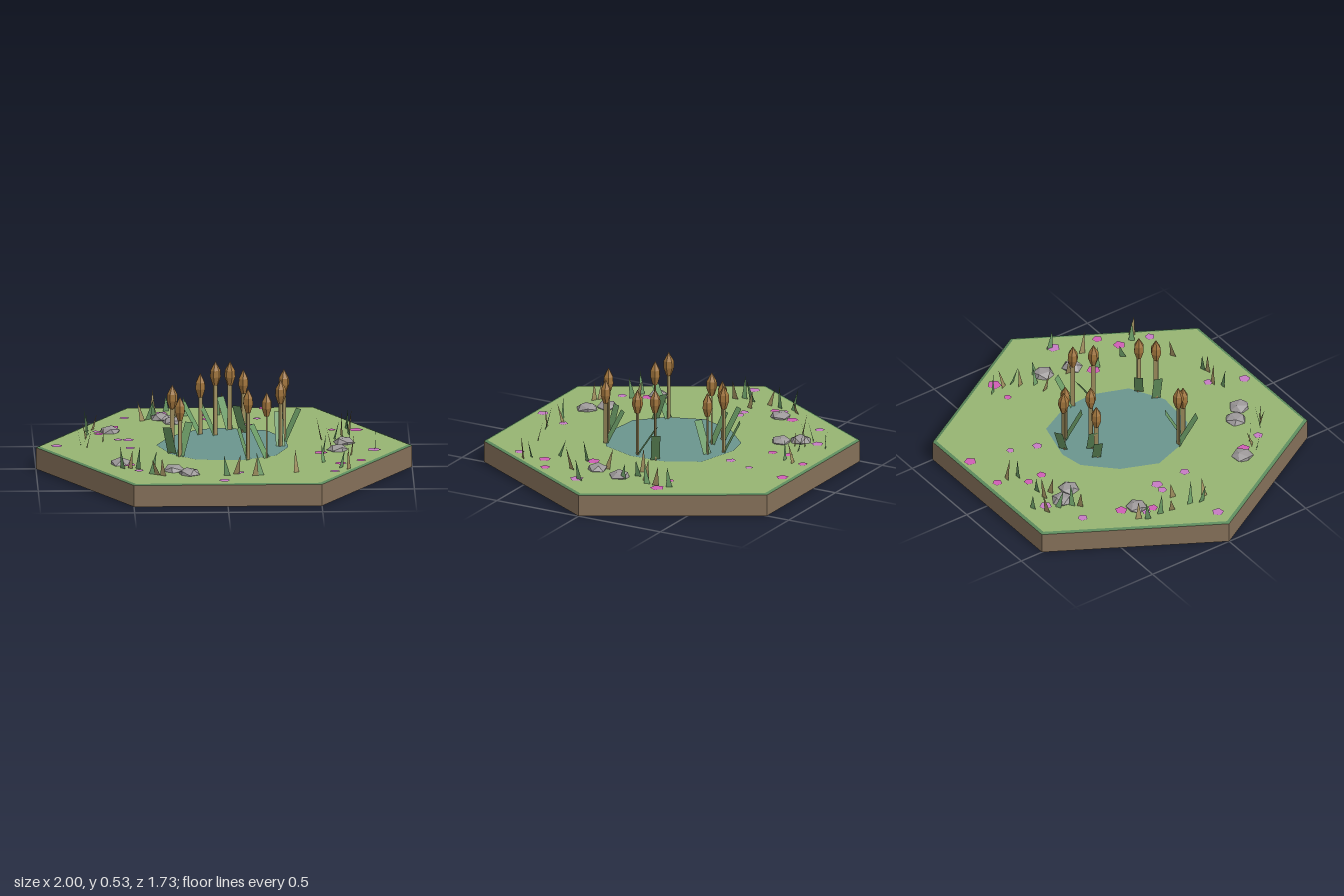
import * as THREE from 'three';

const mat = (name, color, extra = {}) => {
  const m = new THREE.MeshStandardMaterial({ color, flatShading: true, ...extra });
  m.name = name;
  return m;
};
const two = { side: THREE.DoubleSide };
const M = {
  soil: mat('soil brown', 0x86715a),
  rim: mat('rim green', 0x5c8a5c),
  grass: mat('meadow green', 0x96b472),
  water: mat('pond water', 0x6b958e),
  leaf: mat('leaf green', 0x6c9c66, two),
  dry: mat('dry tan', 0xa09060, two),
  head: mat('cattail brown', 0xa0743c),
  rock: mat('stone grey', 0x9c9899),
  pink: mat('deep pink', 0xcf5fb5),
  lilac: mat('pale pink', 0xc67cc4),
};
const G = 0.122; // ground height

// flat strip from base to tip, tapering from width w0 to w1 (w1 = 0 gives a triangle)
function strip(base, tip, side, w0, w1) {
  const at = (p, w) => p.clone().addScaledVector(side, w / 2);
  const a = at(base, -w0), b = at(base, w0), c = at(tip, w1), d = at(tip, -w1);
  const pts = w1 > 0 ? [a, b, c, a, c, d] : [a, b, tip];
  const g = new THREE.BufferGeometry().setFromPoints(pts);
  g.computeVertexNormals();
  return g;
}

export function createModel() {
  const model = new THREE.Group();
  model.name = 'pondTile';
  const group = (name) => {
    const g = new THREE.Group();
    g.name = name;
    model.add(g);
    return g;
  };
  const add = (parent, name, geo, material, x = 0, y = 0, z = 0) => {
    const m = new THREE.Mesh(geo, material);
    m.name = name;
    m.position.set(x, y, z);
    parent.add(m);
    return m;
  };

  // Hexagonal tile: soil, bevelled rim, meadow
  const hex = (top, bottom, h, open) =>
    new THREE.CylinderGeometry(top, bottom, h, 6, 1, open).rotateY(Math.PI / 6);
  add(model, 'soil', hex(1, 1, 0.117, false), M.soil, 0, 0.0585, 0);
  add(model, 'rim', hex(0.98, 1, 0.005, true), M.rim, 0, 0.1195, 0);
  add(model, 'meadow', new THREE.CircleGeometry(0.98, 6).rotateX(-Math.PI / 2), M.grass, 0, G, 0);

  // Pond
  const shore = [[-0.36, 0], [-0.28, -0.2], [-0.13, -0.35], [0, -0.375], [0.235, -0.315], [0.33, -0.13],
    [0.34, 0.06], [0.27, 0.25], [0.08, 0.35], [-0.155, 0.33], [-0.29, 0.2]];
  const pond = new THREE.Shape(shore.map(([x, z]) => new THREE.Vector2(x, -z)));
  add(model, 'pond', new THREE.ShapeGeometry(pond).rotateX(-Math.PI / 2), M.water, 0, G + 0.004, 0);

  // Cattails: x, z, top height, stem yaw, leaf tip x, leaf tip z
  const cattails = [
    [0.04, -0.34, 0.50, 0, -0.01, -0.41], [0.11, -0.28, 0.47, 0.6, 0.07, -0.20],
    [-0.12, -0.24, 0.46, 0.8, -0.21, -0.29], [-0.04, -0.22, 0.53, 0.6, -0.12, -0.26],
    [0.32, -0.08, 0.52, 0.8, 0.40, -0.13], [0.30, 0.04, 0.49, 0.9, 0.29, -0.07],
    [0.22, 0.28, 0.48, 1.57, 0.14, 0.22], [0.12, 0.32, 0.51, 0.8, 0.07, 0.30],
    [-0.28, 0.18, 0.50, 0, -0.31, 0.28], [-0.24, 0.24, 0.45, 0.7, -0.19, 0.16],
  ];
  const headGeo = new THREE.LatheGeometry(
    [[0, 0], [0.014, 0.004], [0.029, 0.05], [0.027, 0.085], [0, 0.135]].map((p) => new THREE.Vector2(...p)), 6);
  const reeds = group('cattails');
  for (const [x, z, top, yaw, tx, tz] of cattails) {
    const h = top - 0.125 - G;
    add(reeds, 'stem', new THREE.BoxGeometry(0.024, h, 0.007), M.dry, x, G + h / 2, z).rotation.y = yaw;
    add(reeds, 'cattailHead', headGeo, M.head, x, top - 0.135, z).rotation.y = x * 9;
    const base = new THREE.Vector3(x, G, z), tip = new THREE.Vector3(tx, 0.29, tz);
    const side = new THREE.Vector3(z - tz, 0, tx - x).normalize();
    add(reeds, 'reedLeaf', strip(base, tip, side, 0.048, 0.048), M.leaf);
  }

  // Flattened stones: x, z, radius
  const stones = group('stones');
  [[-0.32, -0.605, 0.06], [-0.26, -0.52, 0.057], [-0.6, -0.32, 0.058], [-0.56, 0.4, 0.06],
    [-0.28, 0.555, 0.06], [-0.2, 0.635, 0.06], [0.64, -0.045, 0.06], [0.6, 0.115, 0.057]].forEach(([x, z, r], i) => {
    const s = add(stones, 'stone', new THREE.IcosahedronGeometry(r, 0).rotateX(0.4).rotateZ(i * 0.3), M.rock, x, G + 0.003, z);
    s.scale.y = 0.52;
    s.rotation.y = i * 1.3;
  });

  // Flat five-sided flowers: x, z, radius
  const deep = [[0, -0.8, 0.027], [0.235, -0.81, 0.034], [-0.09, -0.66, 0.026], [-0.08, -0.57, 0.027],
    [-0.58, -0.405, 0.034], [-0.66, -0.255, 0.028], [0.58, -0.32, 0.022], [0.71, -0.315, 0.039],
    [0.51, 0.19, 0.038], [0.72, 0.365, 0.028], [0.61, 0.43, 0.034], [-0.515, 0.44, 0.036]];
  const pale = [[-0.315, -0.71, 0.034], [-0.515, -0.61, 0.028], [0.19, -0.58, 0.022], [0.14, -0.44, 0.028],
    [-0.67, -0.305, 0.024], [-0.89, 0.005, 0.033], [-0.56, -0.123, 0.026], [-0.505, -0.118, 0.033],
    [-0.5, 0.065, 0.028], [0.795, 0.13, 0.038], [0.575, 0.605, 0.028], [-0.465, 0.57, 0.027],
    [0.07, 0.625, 0.026], [-0.017, 0.8, 0.032]];
  const flowers = group('flowers');
  for (const [list, material] of [[deep, M.pink], [pale, M.lilac]])
    list.forEach(([x, z, r], i) => {
      add(flowers, 'flower', new THREE.CircleGeometry(r, 5).rotateX(-Math.PI / 2), material, x, G + 0.005, z).rotation.y = i * 1.1;
    });

  // Grass blades facing outward from the pond, alternately green and dry
  const blades = [[-0.29, -0.775], [-0.36, -0.73], [-0.36, -0.66], [-0.25, -0.67], [-0.18, -0.67], [0, -0.74],
    [-0.02, -0.68], [-0.42, -0.56], [-0.39, -0.59], [-0.23, -0.62], [-0.72, -0.33], [-0.69, -0.37],
    [-0.72, -0.25], [-0.73, -0.18], [-0.74, -0.07], [-0.64, -0.11], [-0.76, -0.01], [-0.73, 0.03],
    [0.66, -0.36], [0.67, -0.28], [0.67, -0.23], [0.63, -0.2], [0.59, -0.13], [0.52, -0.12], [0.67, -0.08],
    [0.67, 0.23], [0.52, 0.39], [0.65, 0.54], [0.61, 0.51], [0.37, 0.61], [0, 0.67], [0.05, 0.64],
    [0.18, 0.67], [0.15, 0.68], [-0.55, 0.5], [-0.51, 0.5], [-0.47, 0.51], [-0.37, 0.65], [-0.4, 0.63],
    [-0.34, 0.67], [0.52, 0.22], [0.57, 0.07], [0.8, 0.11]];
  const tufts = group('grassBlades');
  blades.forEach(([x, z], i) => {
    const out = new THREE.Vector3(x, 0, z).normalize();
    const side = new THREE.Vector3(out.z, 0, -out.x);
    const base = new THREE.Vector3(x, G, z);
    const tip = base.clone().addScaledVector(out, 0.03 * Math.sin(i * 2.1)).addScaledVector(side, 0.02 * Math.sin(i * 3.7));
    tip.y += 0.085 + 0.04 * Math.abs(Math.sin(i * 1.7));
    add(tufts, 'grassBlade', strip(base, tip, side, 0.034, 0), i % 2 ? M.dry : M.leaf);
  });

  return model;
}
